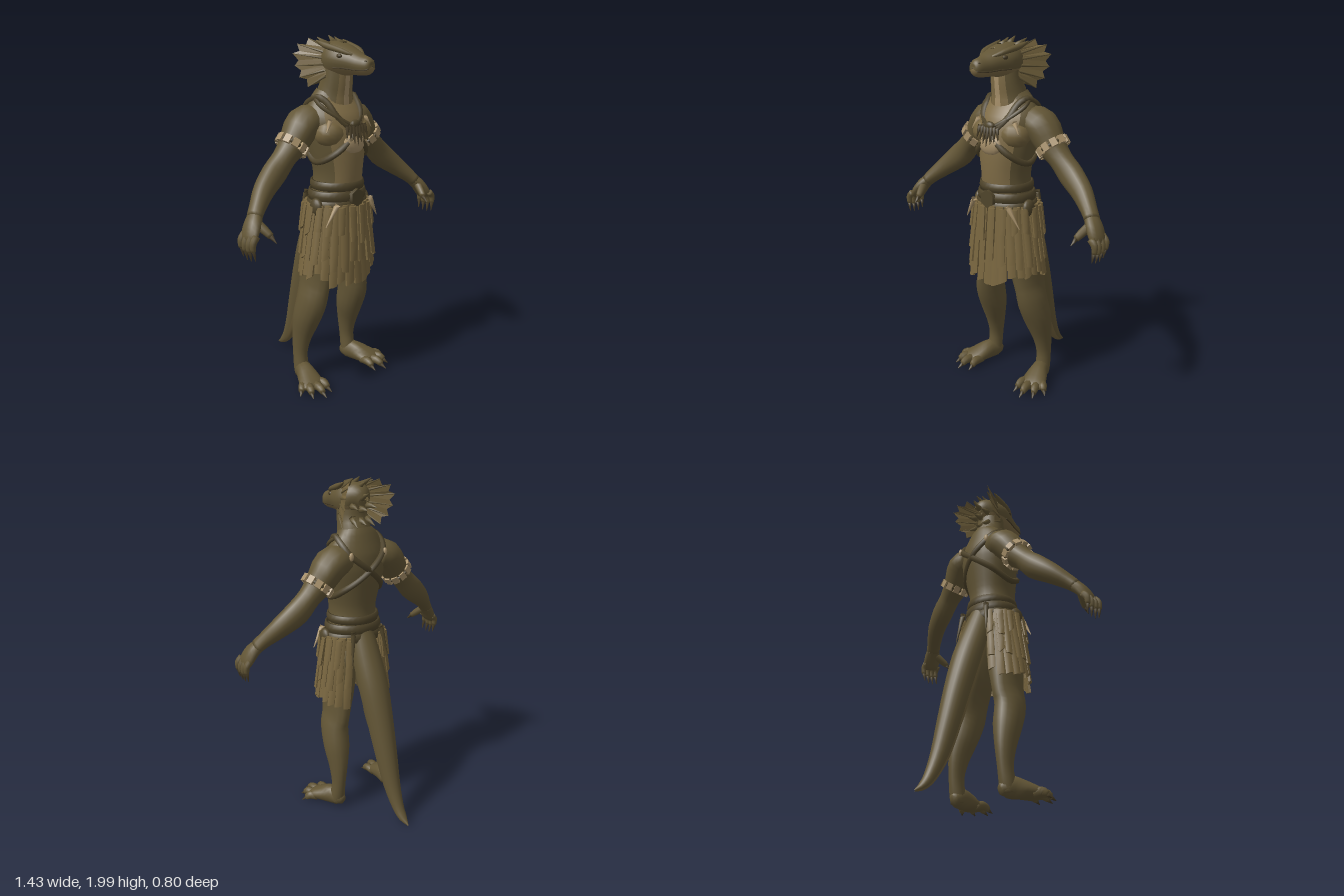
import * as THREE from 'three';

const mat = (name, color, extra = {}) => Object.assign(new THREE.MeshStandardMaterial({ color, ...extra }), { name });
const D = { side: THREE.DoubleSide };
const M = {
  skin: mat('olive skin', 0x625535),
  light: mat('light skin', 0x73623d, D),
  belly: mat('pale belly', 0x7e6b45),
  hide: mat('skirt hide', 0x79663f, D),
  leather: mat('dark leather', 0x4f442a, D),
  bone: mat('bone', 0xa68f69),
  claw: mat('dark claw', 0x483d27),
};
const X = [1, 0, 0], Z = [0, 0, 1], TAU = Math.PI * 2, rad = Math.PI / 180;
const V = (p) => new THREE.Vector3(...p);
let seed = 7;
const rnd = () => (seed = (seed * 16807) % 2147483647) / 2147483647;

// Skin a smooth surface over oval sections [x, y, z, radius along side, other radius]
function loft(pts, side, n = 14, a0 = 0, a1 = TAU) {
  const curve = (ps) => new THREE.CatmullRomCurve3(ps, false, 'catmullrom', 0.5);
  const path = curve(pts.map((p) => V(p.slice(0, 3))));
  const radii = curve(pts.map((p) => new THREE.Vector3(p[3], p[4], 0)));
  const steps = (pts.length - 1) * 3, closed = a1 - a0 > 6.28, cols = closed ? n : n + 1;
  const pos = [], idx = [];
  for (let k = 0; k <= steps; k++) {
    const c = path.getPoint(k / steps), r = radii.getPoint(k / steps), t = path.getTangent(k / steps);
    const u = V(side).addScaledVector(t, -t.dot(V(side))).normalize();
    const v = u.clone().cross(t);
    for (let i = 0; i < cols; i++) {
      const a = a0 + ((a1 - a0) * i) / n;
      const p = c.clone().addScaledVector(u, Math.max(r.x, 0.001) * Math.cos(a)).addScaledVector(v, Math.max(r.y, 0.001) * Math.sin(a));
      pos.push(p.x, p.y, p.z);
    }
  }
  for (let k = 0; k < steps; k++) for (let i = 0; i < n; i++) {
    const j = (i + 1) % cols, a = k * cols, b = a + cols;
    idx.push(a + i, b + i, b + j, a + i, b + j, a + j);
  }
  if (closed) {
    const e = pos.length / 3, last = steps * cols;
    pos.push(...pts[0].slice(0, 3), ...pts[pts.length - 1].slice(0, 3));
    for (let i = 0; i < n; i++) {
      const j = (i + 1) % n;
      idx.push(e, i, j, e + 1, last + j, last + i);
    }
  }
  const g = new THREE.BufferGeometry();
  g.setAttribute('position', new THREE.Float32BufferAttribute(pos, 3));
  g.setIndex(idx);
  g.computeVertexNormals();
  return g;
}

// Torso sections, also used to lay straps on its surface
const TORSO = [
  [0, 1.0, 0.13, 0.165, 0.12], [0, 1.12, 0.14, 0.155, 0.135], [0, 1.25, 0.15, 0.138, 0.138],
  [0, 1.38, 0.142, 0.165, 0.148], [0, 1.5, 0.125, 0.19, 0.15], [0, 1.58, 0.11, 0.188, 0.132],
  [0, 1.65, 0.105, 0.15, 0.1], [0, 1.71, 0.115, 0.1, 0.085],
];
function onTorso(deg, y, out = 0) {
  let k = 0;
  while (k < TORSO.length - 2 && TORSO[k + 1][1] < y) k++;
  const A = TORSO[k], B = TORSO[k + 1], f = (y - A[1]) / (B[1] - A[1]);
  const m = (i) => A[i] + (B[i] - A[i]) * f;
  return new THREE.Vector3((m(3) + out) * Math.cos(deg * rad), y, m(2) + (m(4) + out) * Math.sin(deg * rad));
}

// One hanging skirt strip, a thin box bent round the hips
function strip(deg, width, top, bottom, off) {
  const g = new THREE.BoxGeometry(1, 1, 1, 2, 4, 1), p = g.attributes.position;
  const lean = (rnd() - 0.5) * 0.08, cut = (rnd() - 0.3) * 0.04;
  for (let i = 0; i < p.count; i++) {
    const t = 0.5 - p.getY(i), px = p.getX(i);
    const y = top + (bottom - top) * t + (t === 1 ? px * cut : 0);
    const h = (1.1 - y) / 0.4;
    const a = deg * rad - px * width * rad * (1 - 0.2 * t) + lean * t;
    const o = off + p.getZ(i) * 0.014 + (Math.abs(px) < 0.1 ? 0.008 : 0);
    p.setXYZ(i, (0.175 + 0.065 * h + o) * Math.cos(a), y, 0.143 + 0.005 * h + (0.14 + 0.024 * h + o) * Math.sin(a));
  }
  g.computeVertexNormals();
  return g;
}

export function createModel() {
  const root = new THREE.Group();
  root.name = 'lizardWarrior';
  const add = (name, geo, m) => {
    const mesh = new THREE.Mesh(geo, m);
    mesh.name = name;
    root.add(mesh);
    return mesh;
  };
  const spike = (name, a, b, r, m) => add(name, loft([[...a, r, r], [...b, 0.002, 0.002]], Math.abs(b[0] - a[0]) > 0.06 ? Z : X, 6), m);
  const cord = (name, pts, r, m, closed = false) =>
    add(name, new THREE.TubeGeometry(new THREE.CatmullRomCurve3(pts, closed), 48, r, 6, closed), m);
  const ball = (name, p, s, m) => add(name, new THREE.SphereGeometry(1, 14, 10).scale(...s).translate(...p), m);
  const sector = (name, pts, n, a, b, m) => add(name, loft(pts, X, n, a * rad, b * rad), m);

  // Torso and neck with pale fronts, and a bright stripe on the throat
  const NECK = [[0, 1.58, 0.115, 0.125, 0.1], [0, 1.68, 0.12, 0.104, 0.096], [0, 1.76, 0.14, 0.09, 0.083], [0, 1.86, 0.145, 0.085, 0.08]];
  sector('torsoBack', TORSO, 20, 140, 400, M.skin);
  sector('torsoFront', TORSO, 10, 40, 140, M.belly);
  sector('neckBack', NECK, 18, 125, 415, M.skin);
  sector('neckFront', NECK, 4, 55, 80, M.belly);
  sector('throatStripe', NECK, 4, 80, 100, M.bone);
  sector('neckFront', NECK, 4, 100, 125, M.belly);

  // Head with paler lower jaw
  const HEAD = [
    [0, 1.86, 0.035, 0.035, 0.04], [0, 1.875, 0.08, 0.08, 0.083], [0, 1.873, 0.14, 0.1, 0.095], [0, 1.868, 0.2, 0.098, 0.086],
    [0, 1.86, 0.26, 0.078, 0.069], [0, 1.848, 0.32, 0.057, 0.055], [0, 1.844, 0.37, 0.043, 0.046], [0, 1.843, 0.393, 0.026, 0.028], [0, 1.843, 0.397, 0.002, 0.002],
  ];
  sector('head', HEAD, 16, 155, 385, M.skin);
  sector('jaw', HEAD, 10, 25, 155, M.belly);

  // Crest along the crown and down the nape
  for (const [y, z, ty, tz] of [[1.92, 0.24, 1.95, 0.19], [1.945, 0.19, 1.98, 0.13], [1.945, 0.13, 1.995, 0.07], [1.93, 0.09, 1.97, 0.02],
    [1.88, 0.06, 1.91, -0.01], [1.82, 0.06, 1.82, 0.0], [1.76, 0.07, 1.74, 0.01]])
    spike('crestSpine', [0, y, z], [0, ty, tz], 0.024, M.skin);

  for (const s of [1, -1]) {
    const side = s > 0 ? 'left' : 'right';
    const part = (name, pts, ref, m, n) => add(side + name, loft(pts.map(([x, ...r]) => [s * x, ...r]), ref, n), m);
    const thorn = (name, a, b, r, m) => spike(side + name, [s * a[0], a[1], a[2]], [s * b[0], b[1], b[2]], r, m);

    // Brow, eye, nostril and mouth line
    part('Brow', [[0.04, 1.898, 0.295, 0.008, 0.008], [0.07, 1.922, 0.23, 0.02, 0.015], [0.09, 1.945, 0.14, 0.018, 0.016], [0.1, 1.97, 0.08, 0.003, 0.003]], X, M.skin, 8);
    ball(side + 'Eye', [s * 0.078, 1.893, 0.235], [0.012, 0.012, 0.018], M.claw);
    ball(side + 'Nostril', [s * 0.028, 1.869, 0.376], [0.006, 0.005, 0.009], M.claw);
    part('MouthLine', HEAD.slice(3, 8).map(([, y, z, rx, ry]) => [rx * 0.91, y - ry * 0.42, z, 0.004, 0.004]), X, M.claw, 6);
    thorn('CrownSpine', [0.05, 1.94, 0.13], [0.065, 1.985, 0.05], 0.022, M.skin);
    thorn('NapeSpine', [0.05, 1.84, 0.07], [0.065, 1.83, 0.0], 0.022, M.skin);
    thorn('NapeSpine', [0.045, 1.77, 0.075], [0.06, 1.73, 0.01], 0.022, M.skin);

    // Fan-shaped cheek frill with pointed rays
    const tips = [[0.1, 1.98, 0.02], [0.145, 1.95, -0.022], [0.168, 1.9, -0.033], [0.165, 1.835, -0.02], [0.158, 1.775, 0.01], [0.132, 1.725, 0.05]].map(V);
    const rim = [], tri = [];
    tips.forEach((t, i) => {
      rim.push(t);
      if (tips[i + 1]) rim.push(t.clone().lerp(tips[i + 1], 0.5).lerp(new THREE.Vector3(0.08, 1.85, 0.12), 0.16));
    });
    const hub = (i) => new THREE.Vector3(0.075, 1.935, 0.13).lerp(new THREE.Vector3(0.085, 1.79, 0.15), i / (rim.length - 1));
    for (let i = 0; i < rim.length - 1; i++)
      for (const q of [hub(i), rim[i], rim[i + 1], hub(i), rim[i + 1], hub(i + 1)]) tri.push(s * q.x, q.y, q.z);
    const frill = new THREE.BufferGeometry().setAttribute('position', new THREE.Float32BufferAttribute(tri, 3));
    frill.computeVertexNormals();
    add(side + 'Frill', frill, M.light);
    tips.forEach((t, i) => thorn('FrillRay', hub(i * 2).toArray(), t.toArray(), 0.008, M.skin));

    // Chest muscle and arm
    ball(side + 'Pectoral', [s * 0.095, 1.485, 0.185], [0.095, 0.08, 0.085], M.light);
    part('Arm', [
      [0.1, 1.555, 0.085, 0.09, 0.08], [0.19, 1.535, 0.08, 0.108, 0.092], [0.268, 1.437, 0.085, 0.083, 0.08], [0.335, 1.37, 0.088, 0.066, 0.064],
      [0.41, 1.295, 0.093, 0.062, 0.072], [0.5, 1.225, 0.12, 0.055, 0.06], [0.58, 1.155, 0.165, 0.045, 0.043], [0.62, 1.115, 0.19, 0.045, 0.036],
    ], Z, M.skin, 16);

    // Hand, fingers and thumb with claws
    part('Palm', [[0.605, 1.13, 0.18, 0.04, 0.035], [0.645, 1.085, 0.205, 0.056, 0.034], [0.675, 1.035, 0.22, 0.058, 0.027], [0.685, 1.01, 0.225, 0.045, 0.016]], Z, M.skin, 12);
    for (let i = 0; i < 4; i++) {
      const z = 0.175 + i * 0.033, d = Math.abs(i - 1.5) * 0.01;
      part('Finger', [[0.672, 1.045, z, 0.017, 0.02], [0.697, 1.0 + d, z + 0.002, 0.017, 0.019], [0.698, 0.96 + d, z + 0.004, 0.013, 0.014]], Z, M.skin, 8);
      thorn('FingerClaw', [0.698, 0.968 + d, z + 0.004], [0.688, 0.91 + d, z + 0.008], 0.013, M.claw);
    }
    part('Thumb', [[0.63, 1.1, 0.21, 0.026, 0.026], [0.607, 1.06, 0.26, 0.022, 0.022], [0.594, 1.035, 0.29, 0.017, 0.017]], X, M.skin, 8);
    thorn('ThumbClaw', [0.595, 1.038, 0.285], [0.588, 1.005, 0.325], 0.015, M.claw);

    // Bone armband: a cord carrying small blocks
    const band = new THREE.Group();
    band.name = side + 'Armband';
    const ring = new THREE.Mesh(new THREE.TorusGeometry(0.08, 0.01, 6, 24), M.leather);
    ring.name = 'armbandCord';
    band.add(ring);
    for (let i = 0; i < 11; i++) {
      const a = (i / 11) * TAU;
      const block = new THREE.Mesh(new THREE.BoxGeometry(0.02, 0.036, 0.044), M.bone);
      block.name = 'armbandBone';
      block.position.set(0.084 * Math.cos(a), 0.084 * Math.sin(a), 0);
      block.rotation.z = a;
      band.add(block);
    }
    band.position.set(s * 0.28, 1.428, 0.086);
    band.lookAt(s * 0.345, 1.35, 0.088);
    root.add(band);

    // Leg
    part('Leg', [
      [0.1, 1.02, 0.13, 0.085, 0.11], [0.118, 0.8, 0.13, 0.088, 0.118], [0.147, 0.62, 0.118, 0.066, 0.112], [0.165, 0.52, 0.115, 0.073, 0.102],
      [0.176, 0.4, 0.08, 0.075, 0.087], [0.187, 0.28, 0.05, 0.053, 0.066], [0.193, 0.17, 0.04, 0.04, 0.048], [0.195, 0.08, 0.05, 0.043, 0.046], [0.195, 0.03, 0.055, 0.04, 0.04],
    ], X, M.skin, 16);

    // Splayed foot, toes and claws
    part('Foot', [[0.18, 0.04, 0.01, 0.02, 0.025], [0.19, 0.053, 0.04, 0.042, 0.05], [0.205, 0.062, 0.09, 0.05, 0.06], [0.23, 0.05, 0.16, 0.068, 0.045], [0.25, 0.036, 0.215, 0.075, 0.03], [0.255, 0.028, 0.235, 0.05, 0.018]], X, M.skin, 14);
    for (const [bx, bz, tx, tz] of [[0.19, 0.2, 0.183, 0.305], [0.235, 0.22, 0.25, 0.332], [0.275, 0.205, 0.312, 0.29], [0.285, 0.17, 0.35, 0.222]]) {
      const at = (f, y) => [bx + (tx - bx) * f, y, bz + (tz - bz) * f];
      part('Toe', [[...at(-0.2, 0.034), 0.024, 0.024], [...at(0.35, 0.042), 0.024, 0.026], [...at(0.7, 0.026), 0.016, 0.018]], X, M.skin, 8);
      thorn('ToeClaw', at(0.6, 0.028), at(1, 0.006), 0.016, M.claw);
    }

    // Crossed harness strap over this shoulder
    cord(side + 'HarnessStrap', [[45, 1.645], [62, 1.58], [95, 1.47], [135, 1.38], [180, 1.33], [225, 1.39], [270, 1.49], [305, 1.58], [330, 1.64], [10, 1.675]]
      .map(([d, y]) => onTorso(s > 0 ? d : 180 - d, y, 0.001)), 0.019, M.leather, true);
    ball(side + 'HarnessStud', onTorso(s > 0 ? 305 : 235, 1.58, 0.016).toArray(), [0.014, 0.024, 0.012], M.bone);
    thorn('ChestCharm', [0.13, 1.56, 0.225], [0.17, 1.5, 0.24], 0.016, M.bone);

    // Pouch and tusk at the hip
    ball(side + 'Pouch', [s * 0.18, 1.085, 0.17], [0.028, 0.05, 0.045], M.leather);
    thorn('HipTusk', [0.125, 1.11, 0.282], [0.2, 0.99, 0.268], 0.017, M.bone);
  }

  // Claw necklace over a pale breast plate
  cord('necklace', [[-10, 1.68], [30, 1.635], [65, 1.57], [90, 1.53], [115, 1.57], [150, 1.635], [190, 1.68]].map(([d, y]) => onTorso(d, y, 0.008)), 0.012, M.leather);
  ball('breastPlate', [0, 1.43, 0.274], [0.078, 0.058, 0.03], M.bone);
  ball('necklaceKnot', [0, 1.535, 0.28], [0.035, 0.025, 0.02], M.leather);
  for (let i = -3; i <= 3; i++)
    spike('necklaceClaw', [i * 0.021, 1.54 - Math.abs(i) * 0.002, 0.288], [i * 0.026, 1.425 + Math.abs(i) * 0.013, 0.312 - Math.abs(i) * 0.004], 0.013, M.claw);

  // Belts, buckle and back knot
  for (const [y, rx, rz, h] of [[1.195, 0.146, 0.14, 0.36], [1.14, 0.162, 0.143, 0.42], [1.09, 0.174, 0.144, 0.4]])
    add('belt', new THREE.TorusGeometry(1, 0.075, 6, 32).rotateX(Math.PI / 2).scale(rx, h, rz).translate(0, y, 0.145), M.leather);
  add('buckle', new THREE.CylinderGeometry(0.05, 0.05, 0.03, 6).rotateX(Math.PI / 2).translate(0, 1.135, 0.297), M.leather);
  for (const s of [1, -1]) spike('beltTie', [s * 0.1, 1.14, 0.0], [s * 0.13, 0.95, -0.03], 0.018, M.leather);

  // Layered skirt, open at the back for the tail
  for (const [count, top, low, off, w] of [[23, 1.1, 0.7, 0, 15.5], [20, 1.1, 0.8, 0.013, 13], [16, 1.09, 0.95, 0.024, 12]])
    for (let i = 0; i < count; i++) {
      const deg = -55 + (290 * i) / (count - 1);
      const front = Math.max(0, Math.sin(deg * rad)) ** 2;
      add('skirtStrip', strip(deg, w, top, low - front * 0.05 + (rnd() - 0.5) * 0.07, off), M.hide);
    }

  // Tail sweeping down to the ground, with a lighter underside
  const TAIL = [
    [0, 1.13, 0.06, 0.07, 0.06], [0, 0.98, 0.01, 0.085, 0.078], [0, 0.8, -0.06, 0.09, 0.085], [0, 0.6, -0.125, 0.078, 0.08], [0, 0.4, -0.185, 0.065, 0.068],
    [0, 0.22, -0.242, 0.05, 0.053], [0, 0.1, -0.3, 0.036, 0.036], [0, 0.04, -0.35, 0.026, 0.022], [0, 0.01, -0.4, 0.003, 0.005],
  ];
  sector('tailBack', TAIL, 14, -25, 205, M.skin);
  sector('tailUnderside', TAIL, 8, 205, 335, M.light);
  return root;
}
